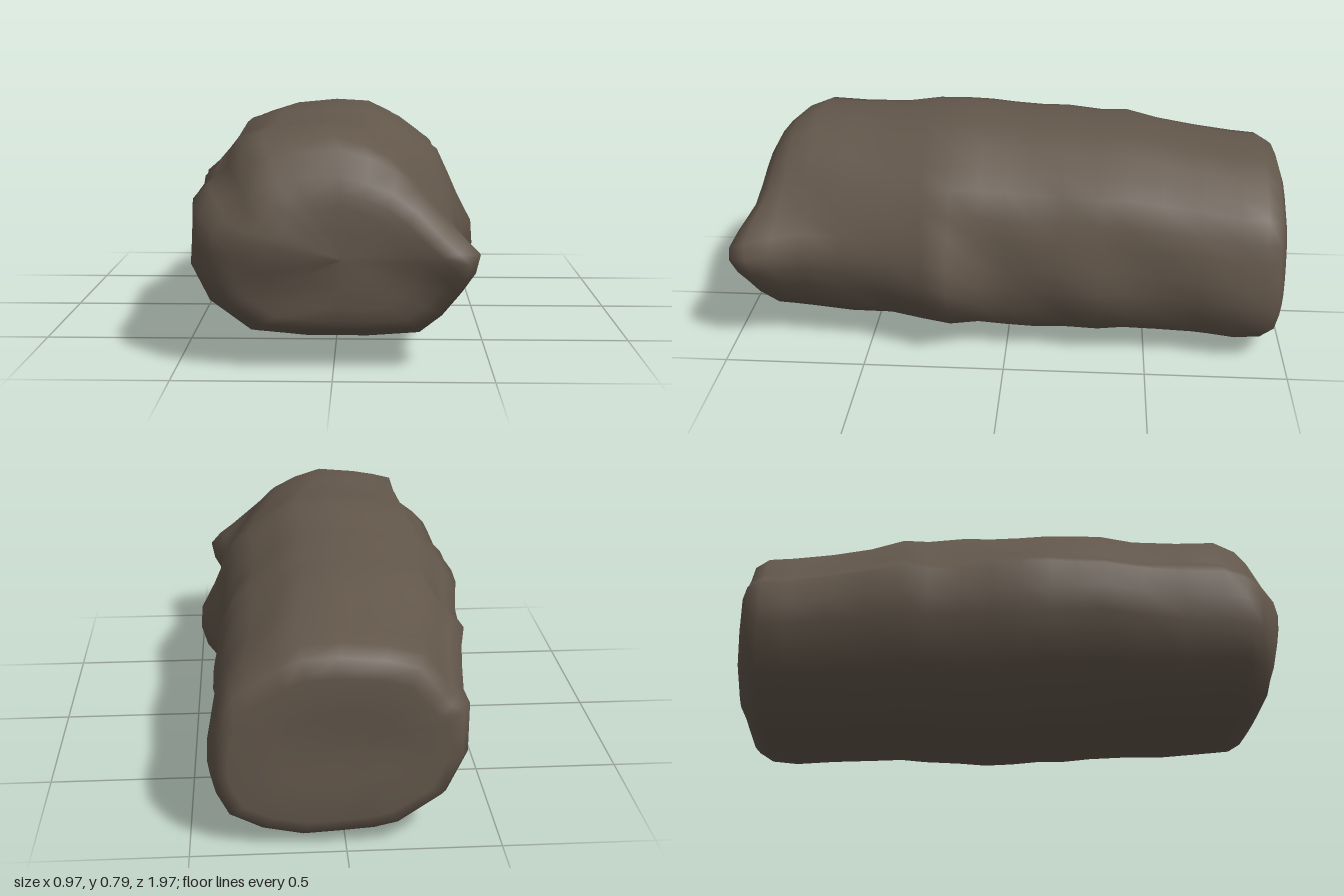
import * as THREE from 'three';

// Angular outlines, counter-clockwise seen from the front, each within -1..1
const BODY = [
  [1, -0.1], [0.97, 0.15], [0.93, 0.35], [0.84, 0.58], [0.7, 0.7], [0.5, 0.87], [0.3, 0.98],
  [0, 1], [-0.36, 0.96], [-0.64, 0.86], [-0.82, 0.56], [-0.9, 0.45], [-1, 0.35], [-1, 0.1],
  [-1, -0.15], [-0.84, -0.57], [-0.48, -0.86], [-0.29, -0.95], [0, -0.98], [0.28, -1],
  [0.6, -0.92], [0.86, -0.76], [0.96, -0.52], [1, -0.32],
];
const FRONT = [
  [1, -0.07], [0.92, 0.07], [0.8, 0.24], [0.6, 0.55], [0.42, 0.77], [0.22, 0.91], [0, 1],
  [-0.33, 0.96], [-0.5, 0.92], [-0.65, 0.87], [-0.72, 0.58], [-0.88, 0.43], [-1, 0.28], [-1, 0],
  [-1, -0.28], [-0.88, -0.65], [-0.61, -0.95], [-0.22, -1], [0, -1], [0.22, -1],
  [0.61, -0.96], [0.77, -0.77], [0.89, -0.5], [0.97, -0.28],
];
const SIDES = BODY.length;

// Sections from front to back: z, x min, x max, y min, y max
const SECTIONS = [
  [0.925, 0.01, 0.03, 0.36, 0.38],
  [0.922, -0.11, 0.14, 0.28, 0.46],
  [0.918, -0.22, 0.27, 0.21, 0.53],
  [0.91, -0.31, 0.36, 0.17, 0.57],
  [0.895, -0.375, 0.42, 0.14, 0.62],
  [0.85, -0.42, 0.45, 0.11, 0.7],
  [0.8, -0.445, 0.435, 0.098, 0.74],
  [0.72, -0.455, 0.42, 0.085, 0.77],
  [0.58, -0.455, 0.41, 0.065, 0.765],
  [0.42, -0.462, 0.41, 0.05, 0.77],
  [0.3, -0.478, 0.415, 0.035, 0.785],
  [0.2, -0.472, 0.425, 0.025, 0.79],
  [0.1, -0.475, 0.41, 0.02, 0.785],
  [0, -0.473, 0.408, 0.01, 0.775],
  [-0.1, -0.463, 0.405, 0.003, 0.77],
  [-0.2, -0.453, 0.405, 0.008, 0.77],
  [-0.33, -0.45, 0.418, 0.015, 0.755],
  [-0.42, -0.45, 0.408, 0.02, 0.76],
  [-0.54, -0.415, 0.415, 0.02, 0.74],
  [-0.68, -0.395, 0.425, 0.018, 0.72],
  [-0.82, -0.385, 0.437, 0.012, 0.7],
  [-0.91, -0.39, 0.428, 0.018, 0.69],
  [-0.96, -0.365, 0.41, 0.05, 0.66],
  [-0.98, -0.32, 0.37, 0.1, 0.6],
  [-0.968, -0.17, 0.21, 0.23, 0.47],
  [-0.965, 0.01, 0.03, 0.34, 0.36],
];

// Soft bump centred on a point
const bump = (p, x, y, z, rx, ry, rz) =>
  Math.exp(-(((p.x - x) / rx) ** 2) - ((p.y - y) / ry) ** 2 - ((p.z - z) / rz) ** 2);

function sculpt(p) {
  const q = p.clone();
  // Gentle lumps in the bark
  const lump = 0.006 * (Math.sin(q.x * 11 + q.z * 9) + Math.sin(q.y * 13 - q.z * 12 + 1));
  if (Math.abs(q.z) < 0.87) p.x += lump * THREE.MathUtils.clamp(q.x * 3, -1, 1);
  // Knots on the side
  p.x += 0.055 * bump(q, 0.43, 0.34, 0.2, 0.15, 0.13, 0.07);
  p.x += 0.04 * bump(q, 0.4, 0.17, 0.24, 0.12, 0.09, 0.1);
  // Lobes and hollow on the front
  p.z += 0.095 * bump(q, 0.41, 0.42, 0.9, 0.12, 0.16, 0.1);
  p.z += 0.04 * bump(q, -0.22, 0.42, 0.9, 0.14, 0.13, 0.1);
  p.z -= 0.03 * bump(q, -0.13, 0.26, 0.9, 0.07, 0.08, 0.1);
  // Spur at the back
  p.z -= 0.035 * bump(q, -0.23, 0.1, -0.97, 0.08, 0.08, 0.06);
  return p;
}

function trunkGeometry() {
  const positions = [], indices = [];
  SECTIONS.forEach(([z, x0, x1, y0, y1], i) => {
    const t = THREE.MathUtils.smoothstep(z, 0.25, 0.8);
    for (let j = 0; j < SIDES; j++) {
      const u = THREE.MathUtils.lerp(BODY[j][0], FRONT[j][0], t);
      const v = THREE.MathUtils.lerp(BODY[j][1], FRONT[j][1], t);
      const p = sculpt(new THREE.Vector3(
        (x0 + x1) / 2 + u * (x1 - x0) / 2, (y0 + y1) / 2 + v * (y1 - y0) / 2, z));
      positions.push(p.x, p.y, p.z);
    }
    if (i === 0) return;
    for (let j = 0; j < SIDES; j++) {
      const n = (j + 1) % SIDES, a = (i - 1) * SIDES, c = i * SIDES;
      indices.push(a + j, c + j, a + n, a + n, c + j, c + n);
    }
  });
  // Close the tiny first and last rings
  const last = (SECTIONS.length - 1) * SIDES;
  for (let j = 1; j < SIDES - 1; j++) {
    indices.push(0, j, j + 1, last, last + j + 1, last + j);
  }
  const geometry = new THREE.BufferGeometry();
  geometry.setAttribute('position', new THREE.Float32BufferAttribute(positions, 3));
  geometry.setIndex(indices);
  geometry.computeVertexNormals();
  return geometry;
}

export function createModel() {
  const group = new THREE.Group();
  group.name = 'log';
  const bark = new THREE.MeshStandardMaterial({ color: 0x63574b });
  bark.name = 'dark brown bark';
  const trunk = new THREE.Mesh(trunkGeometry(), bark);
  trunk.name = 'trunk';
  group.add(trunk);
  return group;
}
